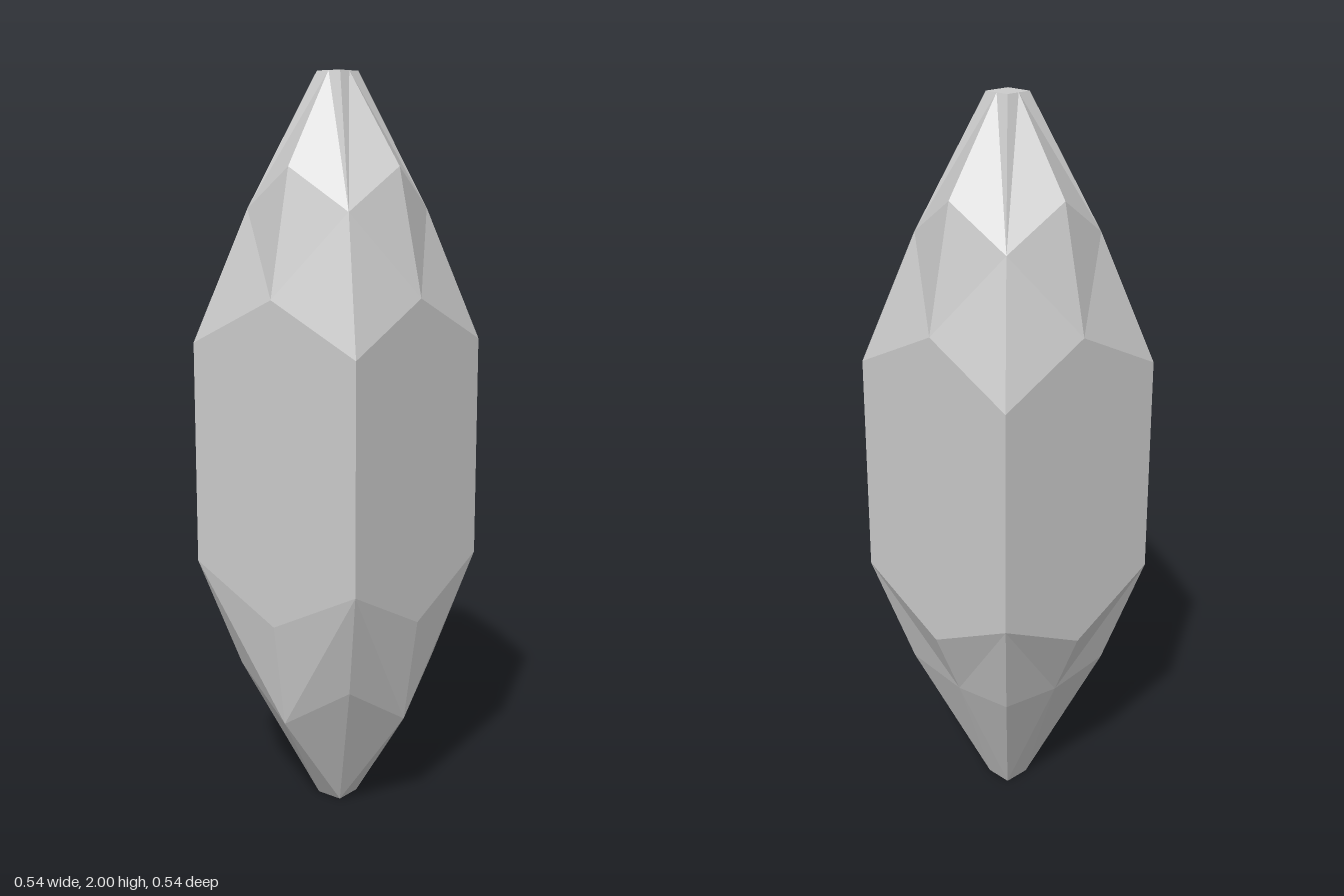
import * as THREE from 'three';

// Each ring has four corners [half width, y] and four side midpoints [reach, y].
// mids run front, +x, back, -x; a single entry is shared by all four sides.
const RINGS = [
  { corner: [0.038, 0], mids: [[0.038, 0]] },
  { corner: [0.19, 0.4], mids: [[0.23, 0.28], [0.19, 0.375], [0.19, 0.375], [0.23, 0.28]] },
  { corner: [0.272, 0.7], mids: [[0.272, 0.565]] },
  { corner: [0.272, 1.3], mids: [[0.272, 1.43]] },
  { corner: [0.168, 1.65], mids: [[0.2, 1.76]] },
  { corner: [0.038, 2], mids: [[0.038, 2]] },
];

// Eight points, counter-clockwise from above, starting at the front midpoint
function ringPoints({ corner, mids }) {
  const points = [];
  for (let side = 0; side < 4; side++) {
    const angle = side * Math.PI / 2;
    const [reach, y] = mids[side % mids.length];
    points.push(new THREE.Vector3(Math.sin(angle) * reach, y, Math.cos(angle) * reach));
    const a = angle + Math.PI / 4;
    const r = corner[0] * Math.SQRT2;
    points.push(new THREE.Vector3(Math.sin(a) * r, corner[1], Math.cos(a) * r));
  }
  return points;
}

function crystalGeometry() {
  const rings = RINGS.map(ringPoints);
  const positions = [];
  const tri = (...pts) => pts.forEach((p) => positions.push(p.x, p.y, p.z));

  // Facet bands, each split along its outward fold
  for (let band = 0; band < rings.length - 1; band++) {
    const a = rings[band], b = rings[band + 1];
    for (let i = 0; i < 8; i++) {
      const j = (i + 1) % 8;
      if (band % 2 === i % 2) {
        tri(a[i], a[j], b[i]);
        tri(a[j], b[j], b[i]);
      } else {
        tri(a[i], a[j], b[j]);
        tri(a[i], b[j], b[i]);
      }
    }
  }

  // Small square tips, using the corner points only
  const [, b0, , b1, , b2, , b3] = rings[0];
  tri(b0, b2, b1);
  tri(b0, b3, b2);
  const [, t0, , t1, , t2, , t3] = rings[rings.length - 1];
  tri(t0, t1, t2);
  tri(t0, t2, t3);

  const geometry = new THREE.BufferGeometry();
  geometry.setAttribute('position', new THREE.Float32BufferAttribute(positions, 3));
  geometry.computeVertexNormals();
  return geometry;
}

export function createModel() {
  const model = new THREE.Group();
  model.name = 'crystal';
  const material = new THREE.MeshStandardMaterial({ color: 0xcccccc, flatShading: true });
  const gem = new THREE.Mesh(crystalGeometry(), material);
  gem.name = 'facetedGem';
  model.add(gem);
  return model;
}
